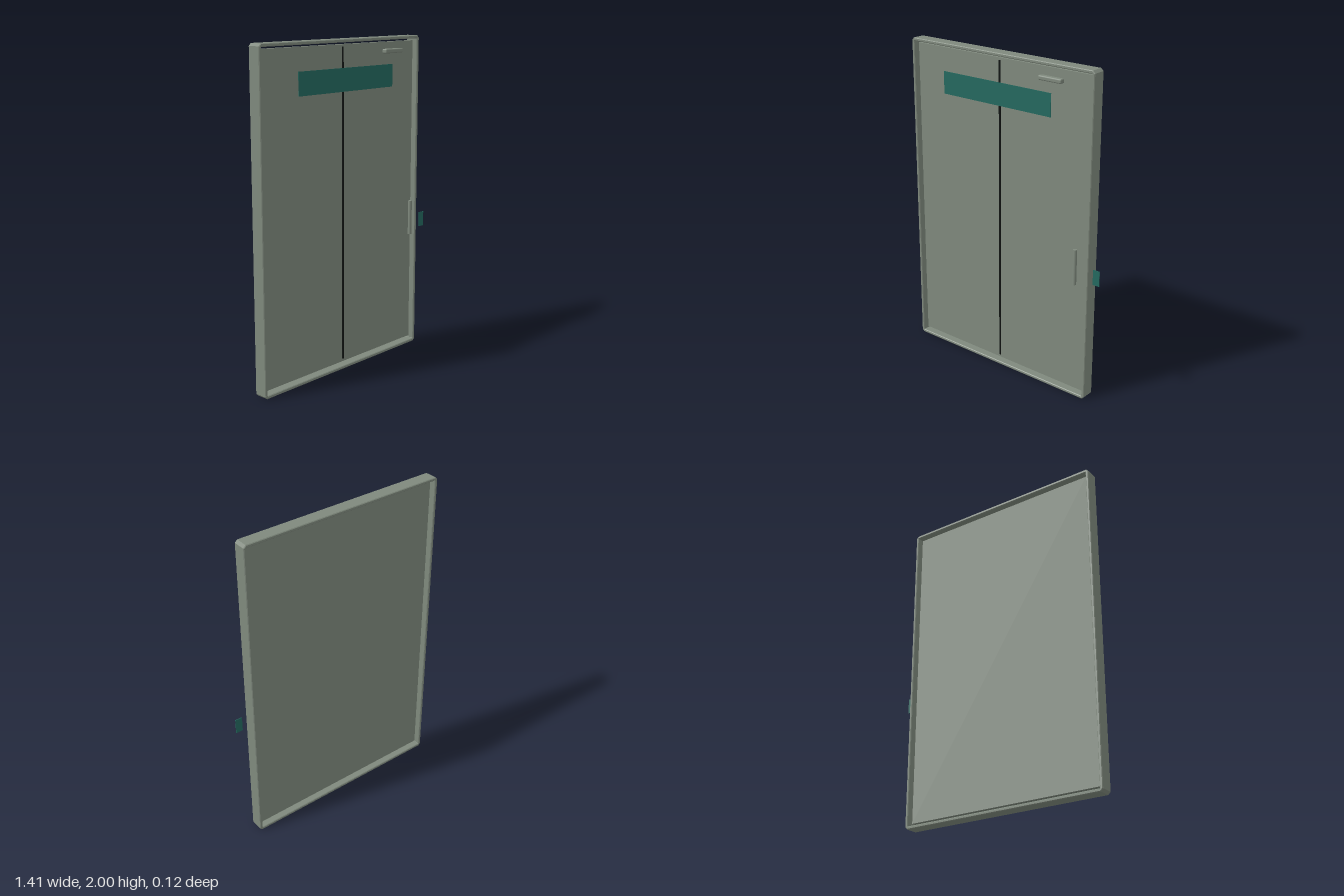
import * as THREE from 'three';
import { RoundedBoxGeometry } from 'three/addons/geometries/RoundedBoxGeometry.js';

const mat = (name, color) => {
  const m = new THREE.MeshStandardMaterial({ color });
  m.name = name;
  return m;
};

// Rectangle outline with clipped corners
function outline(path, w, h, c) {
  const x = w / 2, y = h / 2;
  const pts = [[-x + c, -y], [x - c, -y], [x, -y + c], [x, y - c],
    [x - c, y], [-x + c, y], [-x, y - c], [-x, -y + c]];
  return path.setFromPoints(pts.map(p => new THREE.Vector2(...p)));
}

export function createModel() {
  const grey = mat('grey green paint', 0x7f897d);
  const teal = mat('teal sign', 0x24695f);
  const dark = mat('dark seam', 0x101412);

  const model = new THREE.Group();
  model.name = 'doubleDoor';
  const add = (name, geometry, material, x, y, z) => {
    const mesh = new THREE.Mesh(geometry, material);
    mesh.name = name;
    mesh.position.set(x, y, z);
    model.add(mesh);
  };

  const cx = -0.038; // centre line of the door

  // Surrounding frame: clipped corners and a slight edge bevel
  const bevel = 0.004, depth = 0.084;
  const shape = outline(new THREE.Shape(), 1.334, 2, 0.015);
  shape.holes.push(outline(new THREE.Path(), 1.296, 1.962, 0.001));
  const frame = new THREE.ExtrudeGeometry(shape, {
    depth: depth - 2 * bevel, bevelEnabled: true, bevelSegments: 1,
    bevelSize: bevel, bevelThickness: bevel, bevelOffset: -bevel,
  });
  add('frame', frame, grey, cx, 1, -0.06 + bevel);

  // Recessed door panel with a narrow gap to the frame, and its centre seam
  add('doorPanel', new THREE.BoxGeometry(1.27, 1.932, 0.03), grey, cx, 1.003, -0.018);
  add('centreSeam', new THREE.BoxGeometry(0.011, 1.9, 0.006), dark, cx, 1.005, -0.001);

  // Hardware
  add('handle', new THREE.CylinderGeometry(0.012, 0.012, 0.218, 16), grey, 0.546, 0.855, 0.037);
  add('closer', new RoundedBoxGeometry(0.158, 0.027, 0.035, 2, 0.008), grey, 0.357, 1.917, 0.041);

  // Flat signs
  add('doorSign', new THREE.BoxGeometry(0.79, 0.136, 0.003), teal, cx, 1.77, 0.038);
  add('sidePlate', new THREE.BoxGeometry(0.044, 0.093, 0.004), teal, 0.683, 0.819, 0.018);

  return model;
}
